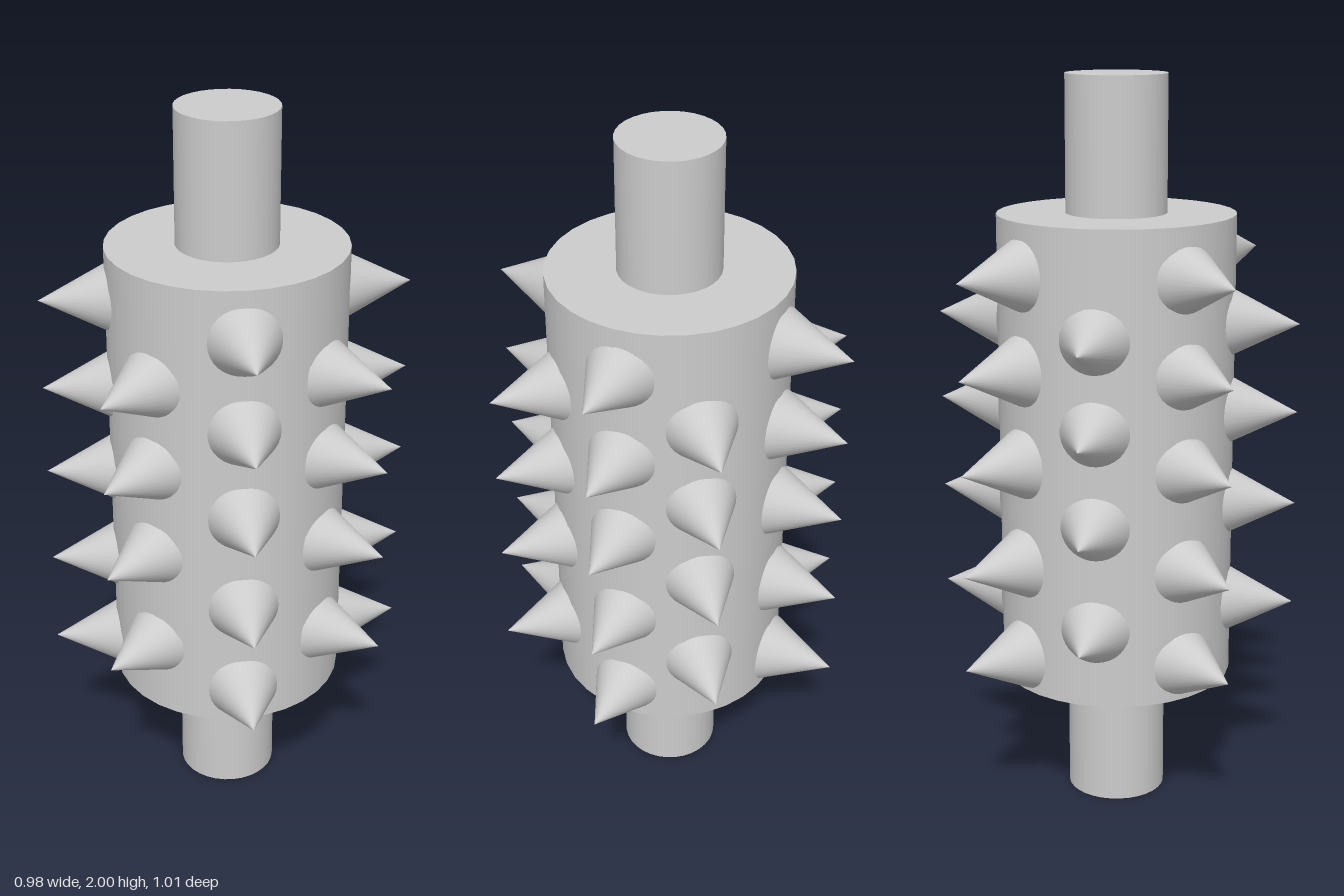
import * as THREE from 'three';

const material = new THREE.MeshStandardMaterial({ color: 0xcccccc });
const SPIKE_LENGTH = 0.19;
const SPIKE_RADIUS = 0.094;

function cylinder(name, radius, bottom, top) {
  const mesh = new THREE.Mesh(new THREE.CylinderGeometry(radius, radius, top - bottom, 32), material);
  mesh.name = name;
  mesh.position.y = (bottom + top) / 2;
  return mesh;
}

// A column of horizontal spikes; tip is [x, z], angle in degrees from +x towards +z
function spikeColumn(name, geometry, [tipX, tipZ], angle, heights) {
  const column = new THREE.Group();
  column.name = name;
  const a = THREE.MathUtils.degToRad(angle);
  const direction = new THREE.Vector3(Math.cos(a), 0, Math.sin(a));
  for (const y of heights) {
    const spike = new THREE.Mesh(geometry, material);
    spike.name = 'spike';
    spike.position.set(tipX, y, tipZ);
    spike.quaternion.setFromUnitVectors(new THREE.Vector3(0, 1, 0), direction);
    column.add(spike);
  }
  return column;
}

export function createModel() {
  const model = new THREE.Group();
  model.name = 'spikedRoller';

  // Drum with an axle end above and below
  model.add(
    cylinder('drum', 0.318, 0.365, 1.64),
    cylinder('upperAxle', 0.135, 1.64, 2),
    cylinder('lowerAxle', 0.135, 0, 0.365)
  );

  // Cone with its tip at the origin
  const cone = new THREE.ConeGeometry(SPIKE_RADIUS, SPIKE_LENGTH, 32);
  cone.translate(0, -SPIKE_LENGTH / 2, 0);

  // Five spikes on the main directions, four staggered between them on the diagonals
  const five = [0.465, 0.727, 1.003, 1.253, 1.503];
  const four = [0.575, 0.86, 1.115, 1.355];
  const columns = [
    ['frontSpikes', [0, 0.502], 90, five],
    ['backSpikes', [0, -0.505], -90, five],
    ['leftSpikes', [0.49, -0.012], 0, five],
    ['rightSpikes', [-0.49, -0.012], 180, five],
    ['frontLeftSpikes', [0.37, 0.325], 39.5, four],
    ['backLeftSpikes', [0.375, -0.322], -39.5, four],
    ['frontRightSpikes', [-0.36, 0.334], 137.5, four],
    ['backRightSpikes', [-0.32, -0.37], -130, four]
  ];
  for (const [name, tip, angle, heights] of columns) {
    model.add(spikeColumn(name, cone, tip, angle, heights));
  }
  return model;
}
